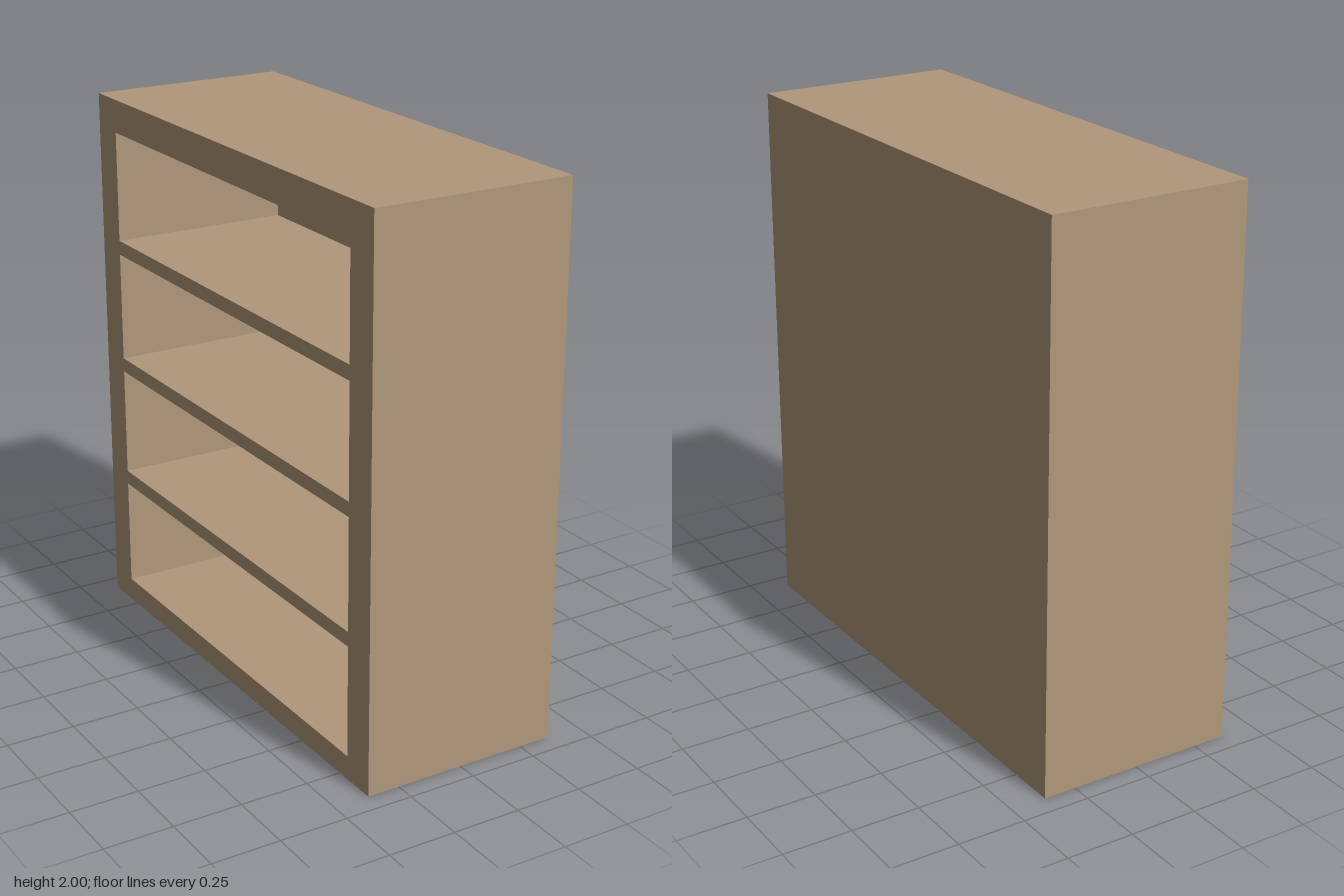
import * as THREE from 'three';

const DEPTH = 0.74, HEIGHT = 2, HALF_WIDTH = 0.926;
const SIDE = 0.13, BACK = 0.06;             // side wall and back panel thickness
const BAYS = 4, FIRST_FLOOR = 0.087, BAY_HEIGHT = 0.408, SHELF = 0.053;

function rectangle(path, x0, y0, x1, y1) {
  path.moveTo(x0, y0);
  path.lineTo(x1, y0);
  path.lineTo(x1, y1);
  path.lineTo(x0, y1);
  path.closePath();
  return path;
}

export function createModel() {
  const model = new THREE.Group();
  model.name = 'bookcase';

  const wood = new THREE.MeshStandardMaterial({ color: 0xb0977b });
  wood.name = 'wood';

  // Frame and shelves: one outline with a hole for each bay, open towards -x
  const outline = rectangle(new THREE.Shape(), -HALF_WIDTH, 0, HALF_WIDTH, HEIGHT);
  for (let i = 0; i < BAYS; i++) {
    const floor = FIRST_FLOOR + i * (BAY_HEIGHT + SHELF);
    outline.holes.push(rectangle(new THREE.Path(),
      -HALF_WIDTH + SIDE, floor, HALF_WIDTH - SIDE, floor + BAY_HEIGHT));
  }
  const frameGeometry = new THREE.ExtrudeGeometry(outline, { depth: DEPTH - BACK, bevelEnabled: false });
  frameGeometry.rotateY(-Math.PI / 2);
  const frame = new THREE.Mesh(frameGeometry, wood);
  frame.name = 'frameAndShelves';
  frame.position.x = DEPTH / 2 - BACK;
  model.add(frame);

  // Closed panel behind the shelves
  const panel = new THREE.Mesh(new THREE.BoxGeometry(BACK, HEIGHT, 2 * HALF_WIDTH), wood);
  panel.name = 'backPanel';
  panel.position.set(DEPTH / 2 - BACK / 2, HEIGHT / 2, 0);
  model.add(panel);

  return model;
}
